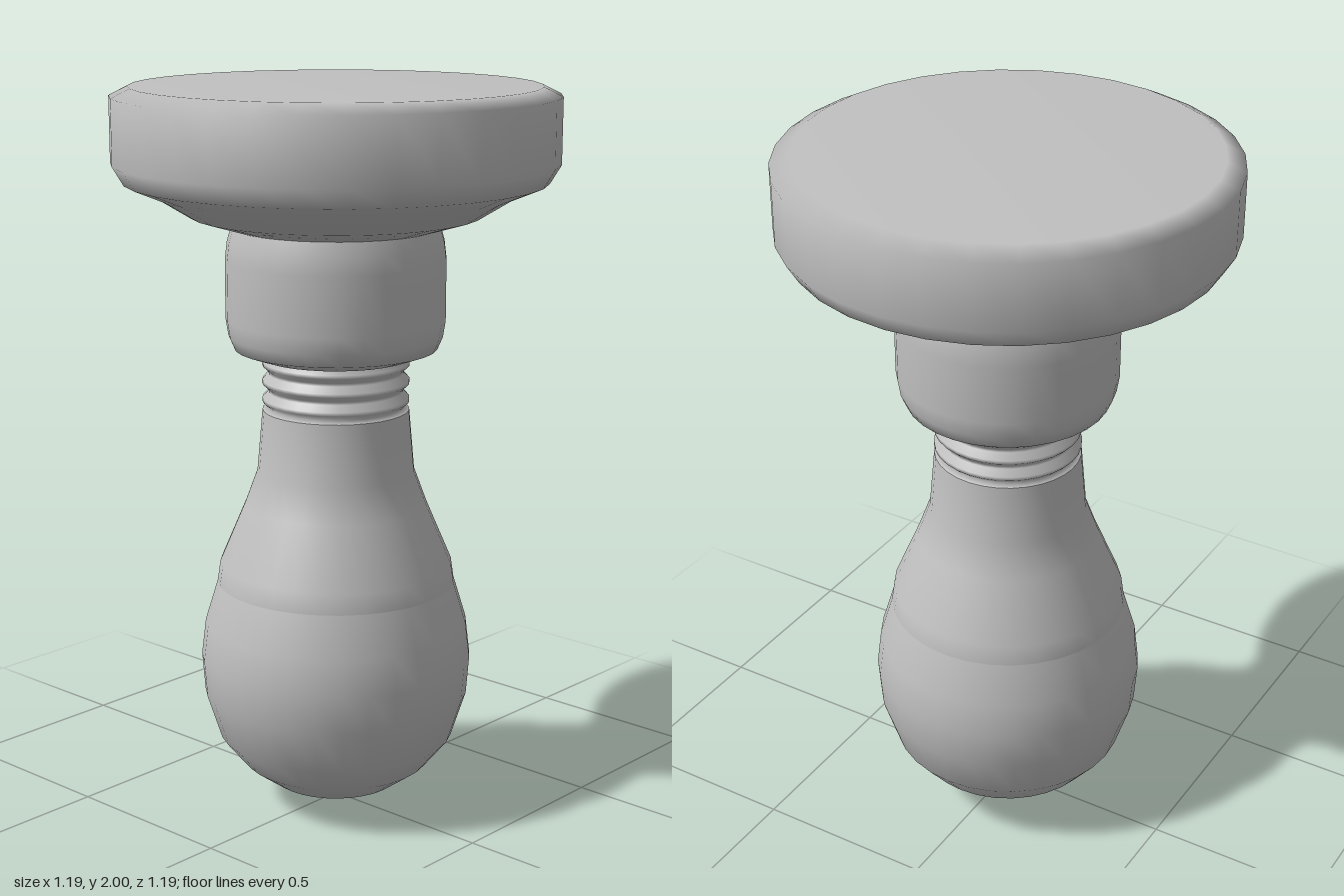
import * as THREE from 'three';

const SIDES = 32;

export function createModel() {
  const model = new THREE.Group();
  const grey = new THREE.MeshStandardMaterial({ color: 0xc0c0c0 });
  grey.name = 'plain grey';

  // Turns a bottom-to-top [radius, height] profile around the y axis
  const turned = (name, profile) => {
    const points = profile.map(([r, y]) => new THREE.Vector2(r, y));
    const mesh = new THREE.Mesh(new THREE.LatheGeometry(points, SIDES), grey);
    mesh.name = name;
    model.add(mesh);
  };

  // Rounded lower glass
  turned('bulbGlobe', [
    [0, 0], [0.09, 0.02], [0.18, 0.06], [0.262, 0.12], [0.327, 0.2],
    [0.367, 0.325], [0.375, 0.43], [0.363, 0.53], [0.328, 0.645],
  ]);

  // Glass tapering up to the neck
  turned('bulbNeck', [
    [0.328, 0.645], [0.32, 0.7], [0.25, 0.865], [0.215, 0.96], [0.2, 1.13],
  ]);

  // Screw thread: evenly spaced ridges
  const thread = [[0.2, 1.13]];
  const ridges = 3, pitch = 0.05;
  for (let i = 0; i < ridges; i++) {
    const y = 1.135 + i * pitch;
    thread.push([0.184, y + 0.003], [0.2, y + 0.018], [0.2, y + 0.028], [0.184, y + 0.045]);
  }
  thread.push([0.184, 1.3]);
  turned('screwThread', thread);

  // Socket holding the thread
  turned('socket', [
    [0.17, 1.275], [0.21, 1.277], [0.275, 1.3], [0.29, 1.335],
    [0.297, 1.38], [0.297, 1.54], [0.291, 1.59], [0.28, 1.63],
  ]);

  // Ceiling mount with a stepped underside and softened rim
  turned('ceilingMount', [
    [0, 1.627], [0.28, 1.627], [0.39, 1.66], [0.48, 1.715], [0.565, 1.75],
    [0.595, 1.8], [0.595, 1.975], [0.545, 2], [0, 2],
  ]);

  return model;
}
